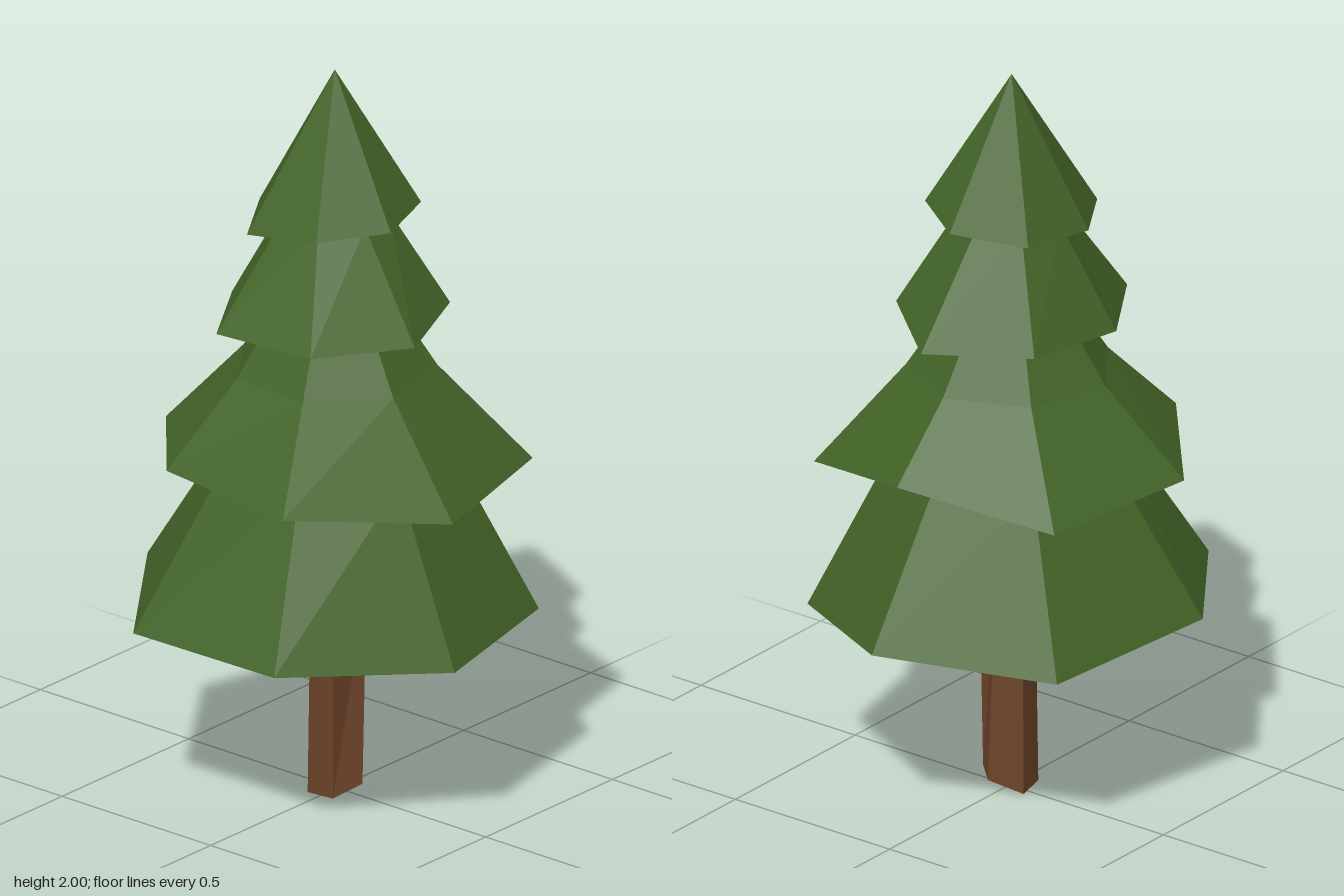
import * as THREE from 'three';

// Skin between successive rings of points (top to bottom), flat shaded.
function loft(rings) {
  const pos = [];
  const tri = (a, b, c) => {
    if (a === b || b === c || a === c) return;
    pos.push(...a, ...b, ...c);
  };
  for (let r = 0; r + 1 < rings.length; r++) {
    const n = Math.max(rings[r].length, rings[r + 1].length);
    const at = (ring, i) => ring[i % ring.length];
    for (let i = 0; i < n; i++) {
      const u0 = at(rings[r], i), u1 = at(rings[r], i + 1);
      const l0 = at(rings[r + 1], i), l1 = at(rings[r + 1], i + 1);
      tri(u0, u1, l1);
      tri(u0, l1, l0);
    }
  }
  const geo = new THREE.BufferGeometry();
  geo.setAttribute('position', new THREE.Float32BufferAttribute(pos, 3));
  geo.computeVertexNormals();
  return geo;
}

// Regular seven-sided ring used where a tier emerges from under another.
function innerRing(radius, y) {
  return Array.from({ length: 7 }, (_, i) => {
    const a = 0.05 + (i * Math.PI * 2) / 7;
    return [Math.sin(a) * radius, y, 0.01 - Math.cos(a) * radius];
  });
}

export function createModel() {
  const group = new THREE.Group();
  const needles = new THREE.MeshStandardMaterial({ color: 0x426327 });
  needles.name = 'needleGreen';
  const bark = new THREE.MeshStandardMaterial({ color: 0x6b4228 });
  bark.name = 'barkBrown';

  const add = (name, geometry, material) => {
    const mesh = new THREE.Mesh(geometry, material);
    mesh.name = name;
    group.add(mesh);
  };

  // Foliage tiers: upper rings, then the uneven drooping rim.
  const tiers = [
    {
      name: 'topTier',
      upper: [[[0, 2, 0.01]]],
      rim: [[0.03, 1.62, -0.21], [0.18, 1.64, -0.12], [0.24, 1.63, 0.07], [0.125, 1.62, 0.23],
        [-0.095, 1.59, 0.245], [-0.21, 1.6, 0.06], [-0.17, 1.61, -0.14]],
    },
    {
      name: 'upperTier',
      upper: [innerRing(0.14, 1.61)],
      rim: [[0.03, 1.325, -0.33], [0.235, 1.36, -0.17], [0.325, 1.335, 0.075], [0.17, 1.335, 0.305],
        [-0.13, 1.33, 0.325], [-0.285, 1.33, 0.08], [-0.225, 1.33, -0.185]],
    },
    {
      name: 'middleTier',
      upper: [innerRing(0.165, 1.34), innerRing(0.27, 1.18)],
      rim: [[0.03, 0.985, -0.43], [0.385, 0.92, -0.32], [0.5, 0.91, 0.13], [0.23, 0.96, 0.485],
        [-0.195, 0.97, 0.445], [-0.47, 0.945, 0.125], [-0.375, 0.915, -0.295]],
    },
    {
      name: 'bottomTier',
      upper: [innerRing(0.3, 0.95)],
      rim: [[0.03, 0.55, -0.535], [0.41, 0.51, -0.315], [0.515, 0.505, 0.14], [0.24, 0.54, 0.53],
        [-0.235, 0.535, 0.53], [-0.515, 0.56, 0.145], [-0.415, 0.52, -0.335]],
    },
  ];
  tiers.forEach((tier, k) => {
    // The underside closes onto the tier below, or to the centre for the last.
    const under = k < 3 ? tiers[k + 1].upper[0] : [[0, 0.56, 0.01]];
    add(tier.name, loft([...tier.upper, tier.rim, under]), needles);
  });

  // Slightly twisted five-sided trunk.
  const trunkTop = [[0.01, 0.57, -0.045], [0.065, 0.57, -0.04], [0.055, 0.57, 0.08],
    [-0.03, 0.57, 0.07], [-0.055, 0.57, -0.015]];
  const trunkFoot = [[0.015, 0.035, -0.07], [0.085, 0.035, 0], [0.045, 0.005, 0.07],
    [-0.04, 0, 0.07], [-0.07, 0.005, -0.03]];
  add('trunk', loft([trunkTop, trunkFoot]), bark);
  add('trunkFootCap', loft([trunkFoot, [[0.01, 0.015, 0.01]]]), needles);

  return group;
}
